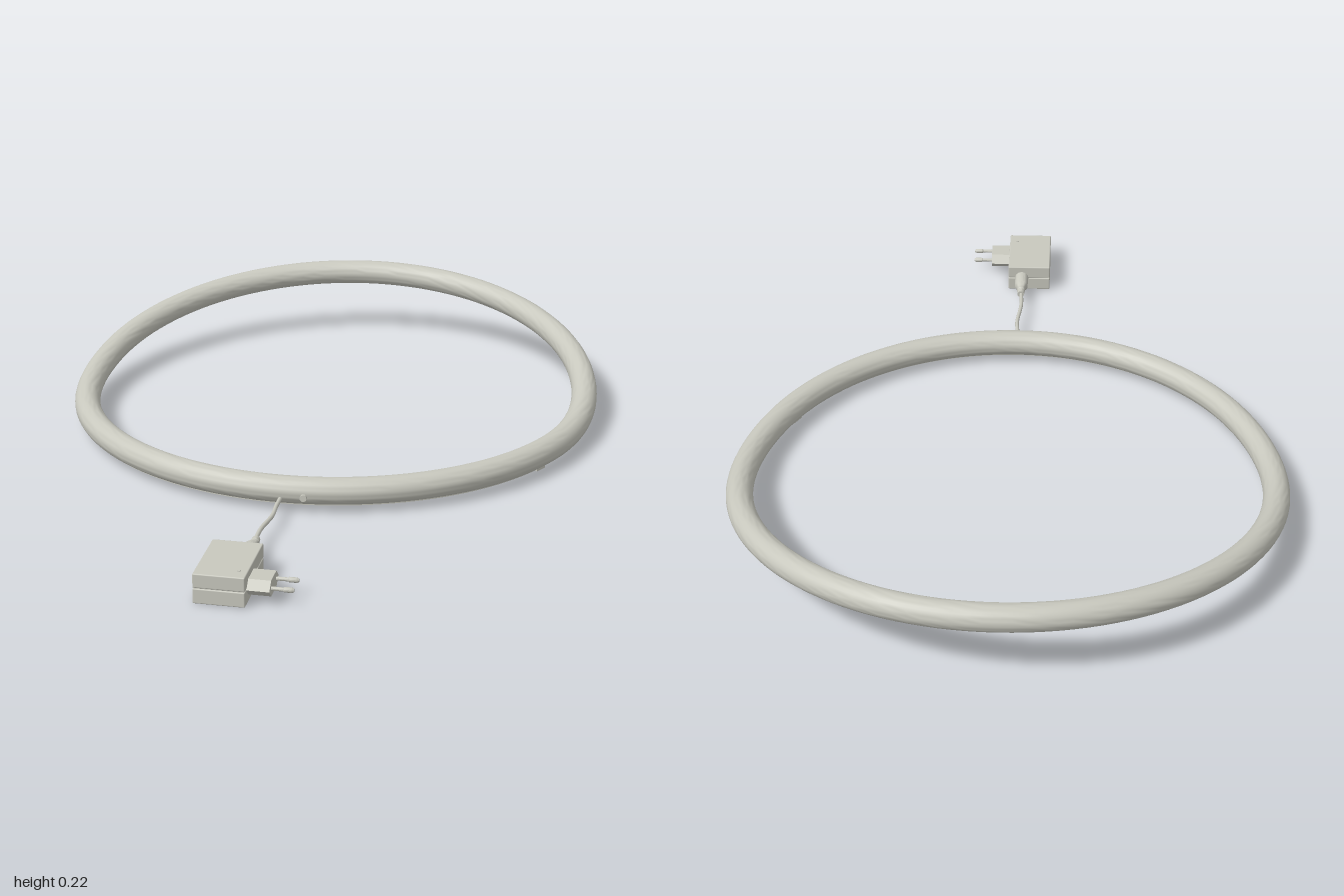
import * as THREE from 'three';
import { toCreasedNormals } from 'three/addons/utils/BufferGeometryUtils.js';
import { RoundedBoxGeometry } from 'three/addons/geometries/RoundedBoxGeometry.js';

const RING_R = 0.695, RING_Z = -0.27, TUBE_R = 0.035, BASE_Y = 0.051;

// Height of the ring's centre line: flat in front, bending up behind
function lift(z) {
  const slope = 0.179, bend = 0.4;
  if (z > 0) return BASE_Y;
  if (z > -bend) return BASE_Y + slope * z * z / (2 * bend);
  return BASE_Y + slope * (-z - bend / 2);
}

// Sweep a counter-clockwise (radial, y) section along the ring from angle t0 to t1
function sweep(section, t0, t1, steps, capped) {
  const pos = [], idx = [], n = section.length;
  for (let i = 0; i <= steps; i++) {
    const t = t0 + (t1 - t0) * i / steps;
    const y = lift(RING_Z + RING_R * Math.cos(t));
    for (const [r, h] of section) {
      pos.push(Math.sin(t) * (RING_R + r), y + h, RING_Z + Math.cos(t) * (RING_R + r));
    }
  }
  for (let i = 0; i < steps; i++) {
    for (let j = 0; j < n; j++) {
      const a = i * n + j, b = i * n + (j + 1) % n;
      idx.push(a, a + n, b, b, a + n, b + n);
    }
  }
  if (capped) {
    const e = steps * n;
    for (let j = 1; j < n - 1; j++) idx.push(0, j, j + 1, e, e + j + 1, e + j);
  }
  const g = new THREE.BufferGeometry();
  g.setAttribute('position', new THREE.Float32BufferAttribute(pos, 3));
  g.setIndex(idx);
  return toCreasedNormals(g, 0.6);
}

function rect(halfWidth, low, high) {
  return [[halfWidth, low], [halfWidth, high], [-halfWidth, high], [-halfWidth, low]];
}

export function createModel() {
  const model = new THREE.Group();
  const grey = new THREE.MeshStandardMaterial({ color: 0xc8c8be });
  grey.name = 'warm light grey';

  function add(name, geometry, x = 0, y = 0, z = 0, parent = model) {
    const mesh = new THREE.Mesh(geometry, grey);
    mesh.name = name;
    mesh.position.set(x, y, z);
    parent.add(mesh);
    return mesh;
  }

  // Round tube with a groove along its underside
  const slot = 0.34, section = [];
  for (let i = 0; i <= 28; i++) {
    const a = -Math.PI / 2 + slot + (2 * Math.PI - 2 * slot) * i / 28;
    section.push([TUBE_R * Math.cos(a), TUBE_R * Math.sin(a)]);
  }
  const half = TUBE_R * Math.sin(slot);
  section.push([-half, -0.022], [half, -0.022]);
  add('ring', sweep(section, 0, Math.PI * 2, 128, false));

  // Cover strip in the front part of the groove, with a stop at each end
  const end = THREE.MathUtils.degToRad(59);
  add('grooveCover', sweep(rect(0.011, -0.036, -0.024), -end, end, 60, true));
  for (const s of [-1, 1]) {
    const a = s * end, b = s * (end + 0.05);
    add('coverStop', sweep(rect(0.016, -0.038, -0.022), Math.min(a, b), Math.max(a, b), 4, true));
  }

  // Small button beside the cable entry
  const button = add('button', new THREE.CylinderGeometry(0.009, 0.009, 0.012, 20), 0.06, 0.045, 0.458);
  button.rotation.x = Math.PI / 2;

  // Cable
  const path = new THREE.CatmullRomCurve3([
    [0, 0.037, 0.44], [0, 0.036, 0.5], [0.003, 0.036, 0.56],
    [-0.006, 0.038, 0.65], [-0.003, 0.039, 0.74],
  ].map(p => new THREE.Vector3(...p)));
  add('cable', new THREE.TubeGeometry(path, 40, 0.0055, 10));

  // Strain relief sleeve
  const sleeve = [[0, 0], [0.02, 0], [0.019, 0.05], [0.012, 0.065], [0.012, 0.075],
    [0.009, 0.078], [0.011, 0.082], [0.01, 0.097], [0, 0.097]];
  const relief = add('strainRelief', toCreasedNormals(
    new THREE.LatheGeometry(sleeve.map(p => new THREE.Vector2(...p)), 24), 0.5), -0.003, 0.039, 0.807);
  relief.rotation.x = -Math.PI / 2;

  // Adapter: two shells with a narrow seam
  const adapter = new THREE.Group();
  adapter.name = 'adapter';
  adapter.position.set(-0.025, 0, 0.9025);
  model.add(adapter);
  add('lowerShell', new RoundedBoxGeometry(0.124, 0.038, 0.195, 2, 0.003), 0, 0.019, 0, adapter);
  add('upperShell', new RoundedBoxGeometry(0.124, 0.036, 0.195, 2, 0.003), 0, 0.0575, 0, adapter);
  add('seam', new THREE.BoxGeometry(0.119, 0.01, 0.19), 0, 0.0385, 0, adapter);
  add('indicator', new THREE.CylinderGeometry(0.005, 0.005, 0.002, 16), 0.04, 0.0762, 0.06, adapter);

  // Plug body: flat six-sided block pointing to +x
  const hex = [[-0.049, 0], [-0.028, -0.02], [0.028, -0.02], [0.049, 0], [0.028, 0.02], [-0.028, 0.02]];
  const shape = new THREE.Shape(hex.map(p => new THREE.Vector2(...p)));
  const plug = add('plugBody', new THREE.ExtrudeGeometry(shape, { depth: 0.055, bevelEnabled: false }),
    0.036, 0.038, 0.936);
  plug.rotation.y = Math.PI / 2;

  // Two round pins: thin sleeve and thicker tip
  const pin = [[0, 0], [0.0048, 0], [0.0048, 0.03], [0.0065, 0.032], [0.0065, 0.05], [0.004, 0.055], [0, 0.055]];
  const pinGeometry = toCreasedNormals(
    new THREE.LatheGeometry(pin.map(p => new THREE.Vector2(...p)), 16), 0.5);
  for (const z of [0.909, 0.963]) {
    add('plugPin', pinGeometry, 0.09, 0.038, z).rotation.z = -Math.PI / 2;
  }

  return model;
}
